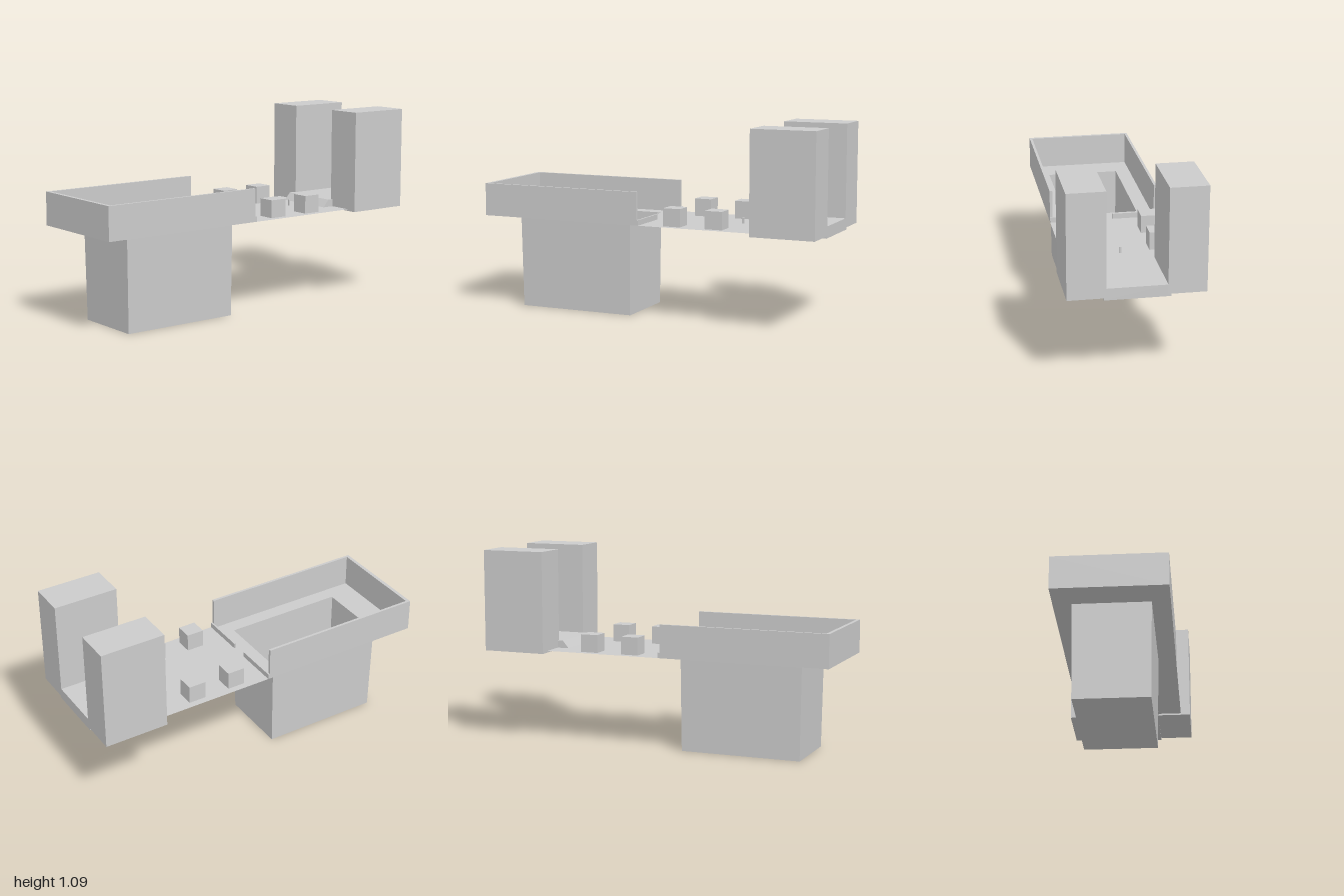
import * as THREE from 'three';

const material = new THREE.MeshStandardMaterial({ color: 0xcccccc, flatShading: true, side: THREE.DoubleSide });

function add(group, name, geometry) {
  const mesh = new THREE.Mesh(geometry, material);
  mesh.name = name;
  group.add(mesh);
  return mesh;
}

// Box given by its extents on each axis
function block(group, name, [x0, x1], [y0, y1], [z0, z1]) {
  const mesh = add(group, name, new THREE.BoxGeometry(x1 - x0, y1 - y0, z1 - z0));
  mesh.position.set((x0 + x1) / 2, (y0 + y1) / 2, (z0 + z1) / 2);
}

const points = (list) => list.map(([x, y]) => new THREE.Vector2(x, y));

// Open-topped pit joining a floor opening to a slightly smaller bottom
function pitGeometry(top, bottom) {
  const ring = ({ x, y, z0, z1 }) => [[-x, y, z0], [x, y, z0], [x, y, z1], [-x, y, z1]];
  const geometry = new THREE.BufferGeometry();
  geometry.setAttribute('position', new THREE.Float32BufferAttribute([...ring(top), ...ring(bottom)].flat(), 3));
  const index = [4, 5, 6, 4, 6, 7];
  for (let i = 0; i < 4; i++) {
    const j = (i + 1) % 4;
    index.push(i, j, j + 4, i, j + 4, i + 4);
  }
  geometry.setIndex(index);
  const flat = geometry.toNonIndexed();
  flat.computeVertexNormals();
  return flat;
}

export function createModel() {
  const model = new THREE.Group();
  model.name = 'hall';
  const floorY = 0.53;

  // Thin floor with the pit opening (shape y becomes -z)
  const floor = new THREE.Shape(points([[-0.305, -1], [0.305, -1], [0.305, 0.66], [-0.305, 0.66]]));
  floor.holes.push(new THREE.Path(points([[-0.207, -0.82], [-0.207, -0.13], [0.207, -0.13], [0.207, -0.82]])));
  const floorMesh = add(model, 'floor', new THREE.ShapeGeometry(floor));
  floorMesh.rotation.x = -Math.PI / 2;
  floorMesh.position.y = floorY;

  // Sunken pit
  add(model, 'pit', pitGeometry(
    { x: 0.207, y: floorY, z0: 0.13, z1: 0.824 },
    { x: 0.2, y: 0, z0: 0.135, z1: 0.816 }));

  // U-shaped parapet around the front
  const wall = new THREE.Shape(points([
    [-0.305, -0.045], [-0.305, -1], [0.305, -1], [0.305, -0.045],
    [0.29, -0.045], [0.29, -0.98], [-0.29, -0.98], [-0.29, -0.045]]));
  const wallMesh = add(model, 'parapet', new THREE.ExtrudeGeometry(wall, { depth: 0.185, bevelEnabled: false }));
  wallMesh.rotation.x = -Math.PI / 2;
  wallMesh.position.y = floorY;

  // Mirrored parts: low barriers, cubes and towers
  for (const side of [-1, 1]) {
    const span = (a, b) => (side > 0 ? [a, b] : [-b, -a]);
    block(model, 'barrier', span(0.05, 0.305), [floorY, 0.56], [0.035, 0.045]);
    for (const z of [-0.2, -0.445]) {
      block(model, 'cube', span(0.17, 0.267), [floorY, 0.63], [z, z + 0.1]);
    }
    block(model, 'tower', span(0.158, 0.36), [0.52, 1.09], [-1, -0.637]);
  }

  // Stage with sloped front and underside (profile x is -z)
  const stage = new THREE.Shape(points([[0.567, 0.527], [1, 0.508], [1, 0.572], [0.605, 0.572]]));
  const stageMesh = add(model, 'stage', new THREE.ExtrudeGeometry(stage, { depth: 0.345, bevelEnabled: false }));
  stageMesh.rotation.y = Math.PI / 2;
  stageMesh.position.x = -0.174;

  // Small post in front of the stage
  block(model, 'post', [-0.013, -0.005], [floorY, 0.565], [-0.465, -0.455]);

  return model;
}
